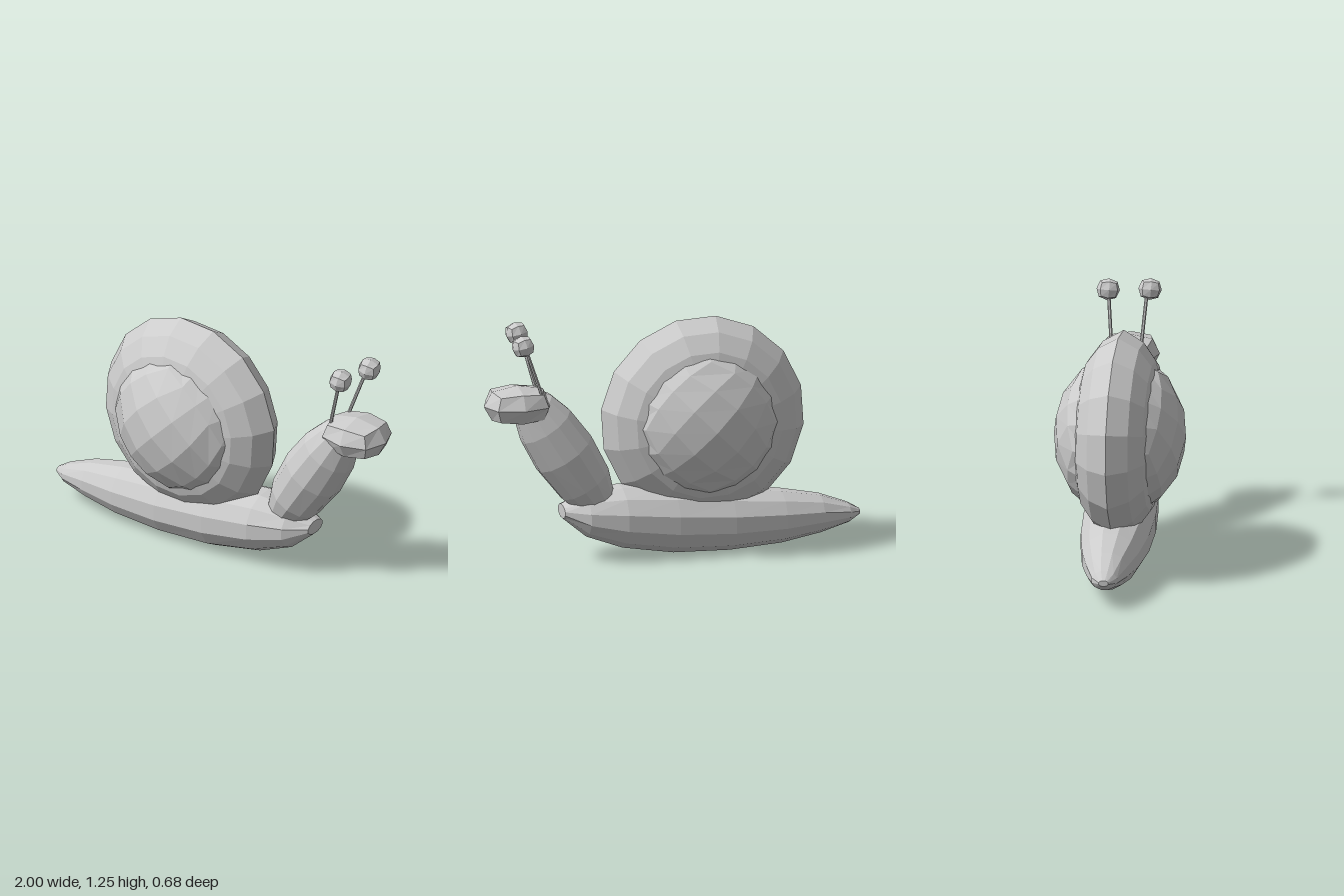
import * as THREE from 'three';

const material = new THREE.MeshStandardMaterial({ color: 0xcccccc, flatShading: true, side: THREE.DoubleSide });

function add(group, name, geometry, x = 0, y = 0, z = 0) {
  const mesh = new THREE.Mesh(geometry, material);
  mesh.name = name;
  mesh.position.set(x, y, z);
  group.add(mesh);
  return mesh;
}

// Subdivided cube inflated to a ball; a higher power keeps it boxier
function cubeBall(segments, rx, ry, rz, power = 2) {
  const geometry = new THREE.BoxGeometry(2, 2, 2, segments, segments, segments);
  const p = geometry.attributes.position;
  const v = new THREE.Vector3();
  for (let i = 0; i < p.count; i++) {
    v.fromBufferAttribute(p, i);
    // Even out the angular spacing of the grid
    v.set(...v.toArray().map((c) => Math.tan(c * Math.PI / 4)));
    const n = (Math.abs(v.x) ** power + Math.abs(v.y) ** power + Math.abs(v.z) ** power) ** (1 / power);
    p.setXYZ(i, v.x / n * rx, v.y / n * ry, v.z / n * rz);
  }
  geometry.computeVertexNormals();
  return geometry;
}

// Oval rings along x, each given as [x, bottom, top, half width], closed at both ends
function loft(rings, sides) {
  const points = [], index = [];
  for (const [x, lo, hi, w] of rings) {
    for (let j = 0; j < sides; j++) {
      const a = (j + 0.5) / sides * Math.PI * 2;
      const k = 1 / Math.cos(Math.PI / sides);
      points.push(x, (lo + hi) / 2 + Math.cos(a) * k * (hi - lo) / 2, Math.sin(a) * k * w);
    }
  }
  const last = (rings.length - 1) * sides;
  for (let j = 0; j < sides; j++) {
    const n = (j + 1) % sides;
    for (let i = 0; i < last; i += sides) {
      index.push(i + j, i + n, i + sides + j, i + n, i + sides + n, i + sides + j);
    }
    if (j > 0 && n > 0) index.push(0, n, j, last, last + j, last + n);
  }
  const geometry = new THREE.BufferGeometry();
  geometry.setAttribute('position', new THREE.Float32BufferAttribute(points, 3));
  geometry.setIndex(index);
  geometry.computeVertexNormals();
  return geometry;
}

function rod(group, name, from, to, radius) {
  const a = new THREE.Vector3(...from), b = new THREE.Vector3(...to);
  const d = b.clone().sub(a);
  const mesh = add(group, name, new THREE.CylinderGeometry(radius, radius, d.length(), 6));
  mesh.position.copy(a).add(b).multiplyScalar(0.5);
  mesh.quaternion.setFromUnitVectors(new THREE.Vector3(0, 1, 0), d.normalize());
}

export function createModel() {
  const group = new THREE.Group();
  group.name = 'snail';

  // Long crawling foot, tail at -x
  add(group, 'foot', loft([
    [-1, 0.13, 0.16, 0.025],
    [-0.94, 0.095, 0.195, 0.065],
    [-0.79, 0.055, 0.25, 0.105],
    [-0.58, 0.02, 0.29, 0.145],
    [-0.3, 0.005, 0.325, 0.175],
    [0, 0.015, 0.36, 0.185],
    [0.27, 0.06, 0.375, 0.175],
    [0.46, 0.13, 0.35, 0.135],
    [0.58, 0.23, 0.3, 0.065],
  ], 12), 0, 0, -0.022);

  // Neck rising to the head
  const neck = add(group, 'neck', loft([
    [-0.37, -0.05, 0.05, 0.05],
    [-0.32, -0.1, 0.1, 0.095],
    [-0.2, -0.14, 0.14, 0.135],
    [0, -0.16, 0.16, 0.15],
    [0.18, -0.145, 0.145, 0.135],
    [0.3, -0.11, 0.11, 0.105],
    [0.37, -0.065, 0.065, 0.06],
  ], 12), 0.57, 0.575, -0.025);
  neck.rotation.z = THREE.MathUtils.degToRad(57);

  add(group, 'head', cubeBall(2, 0.178, 0.1, 0.155, 2.5), 0.822, 0.852, -0.042);

  // Eye stalks and eyes
  for (const [side, base, eye] of [
    ['left', [0.695, 0.87, 0.022], [0.795, 1.2, 0.065]],
    ['right', [0.7, 0.87, -0.122], [0.825, 1.185, -0.152]],
  ]) {
    const tip = [eye[0] - 0.018, eye[1] - 0.02, eye[2] > 0 ? 0.05 : -0.148];
    rod(group, side + 'EyeStalk', base, tip, 0.009);
    const ball = add(group, side + 'Eye', cubeBall(2, 0.058, 0.056, 0.06, 2.3), ...eye);
    ball.rotation.set(0.1, 0.15, -0.2);
  }

  // Shell: broad coil with a bulging whorl through its middle
  const shell = new THREE.Group();
  shell.name = 'shell';
  shell.position.set(-0.172, 0.7, -0.007);
  shell.rotation.y = -0.058;
  group.add(shell);
  const half = [[0.535, 0], [0.475, 0.105], [0.385, 0.17], [0.28, 0.2], [0, 0.2]];
  const profile = [...half.slice(1).reverse().map(([r, z]) => [r, -z]), ...half];
  const coil = new THREE.LatheGeometry(profile.map(([r, z]) => new THREE.Vector2(r, z)), 16, THREE.MathUtils.degToRad(7.5));
  coil.rotateX(Math.PI / 2);
  add(shell, 'shellCoil', coil);
  const whorl = add(shell, 'shellWhorl', cubeBall(4, 0.418, 0.418, 0.34));
  whorl.rotation.z = Math.PI / 4;

  return group;
}
